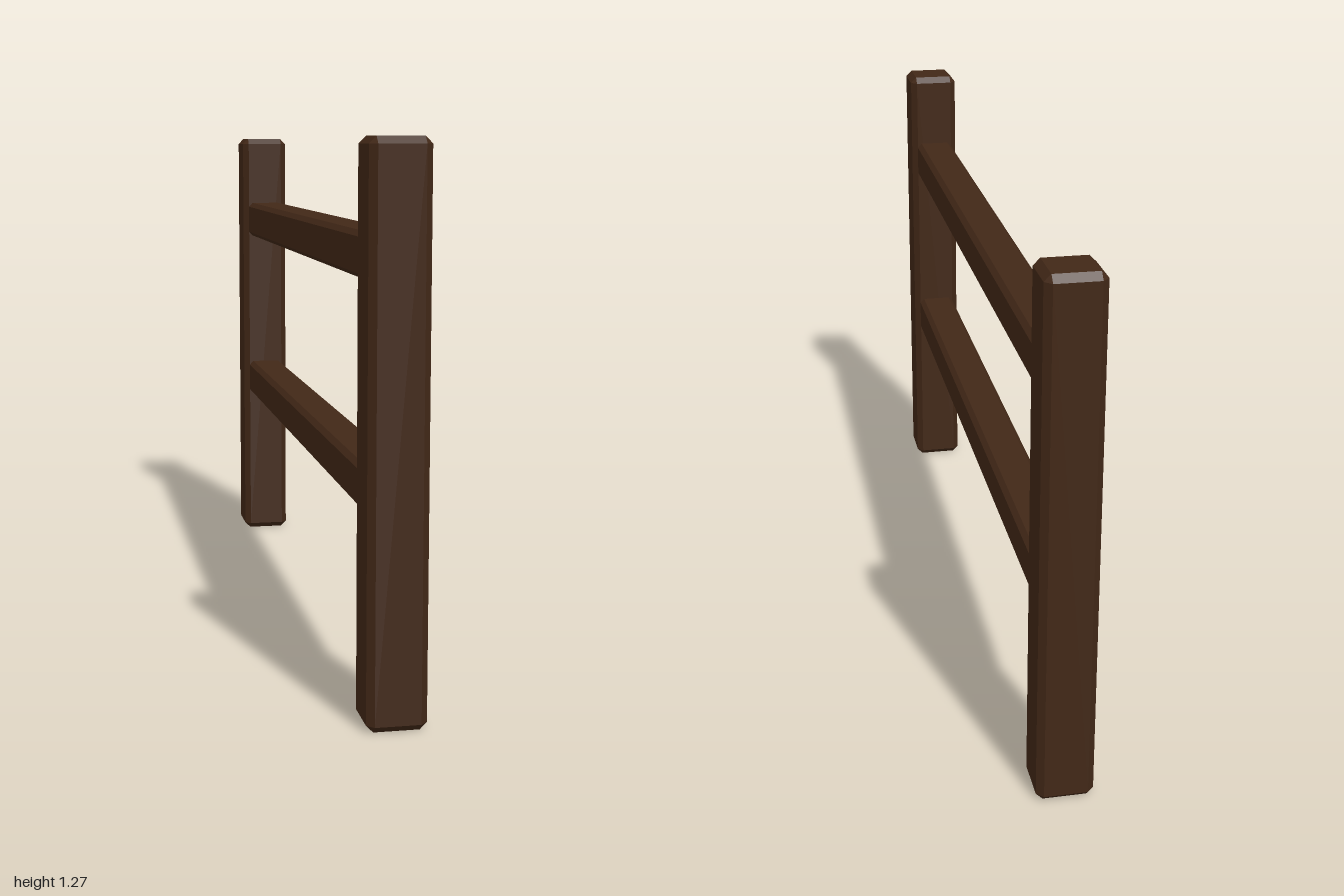
import * as THREE from 'three';
import { ConvexGeometry } from 'three/addons/geometries/ConvexGeometry.js';

// Box with every edge cut by a flat chamfer
function chamferBox(w, h, d, c) {
  const points = [];
  for (const x of [-w / 2, w / 2])
    for (const y of [-h / 2, h / 2])
      for (const z of [-d / 2, d / 2]) {
        const cx = Math.sign(x) * c, cy = Math.sign(y) * c, cz = Math.sign(z) * c;
        points.push(
          new THREE.Vector3(x, y - cy, z - cz),
          new THREE.Vector3(x - cx, y, z - cz),
          new THREE.Vector3(x - cx, y - cy, z)
        );
      }
  return new ConvexGeometry(points);
}

export function createModel() {
  const group = new THREE.Group();
  group.name = 'railFence';
  const wood = new THREE.MeshStandardMaterial({ color: 0x422817, flatShading: true });

  const add = (name, geometry, y, z) => {
    const mesh = new THREE.Mesh(geometry, wood);
    mesh.name = name;
    mesh.position.set(0, y, z);
    group.add(mesh);
  };

  // Upright posts at both ends
  const height = 1.27, width = 0.135;
  const post = chamferBox(width, height, width, 0.016);
  add('frontPost', post, height / 2, 1 - width / 2);
  add('backPost', post, height / 2, -1 + width / 2);

  // Horizontal rails, let slightly into the posts
  const rail = chamferBox(0.104, 0.104, 1.76, 0.012);
  add('lowerRail', rail, 0.504, 0);
  add('upperRail', rail, 1.015, 0);

  return group;
}
